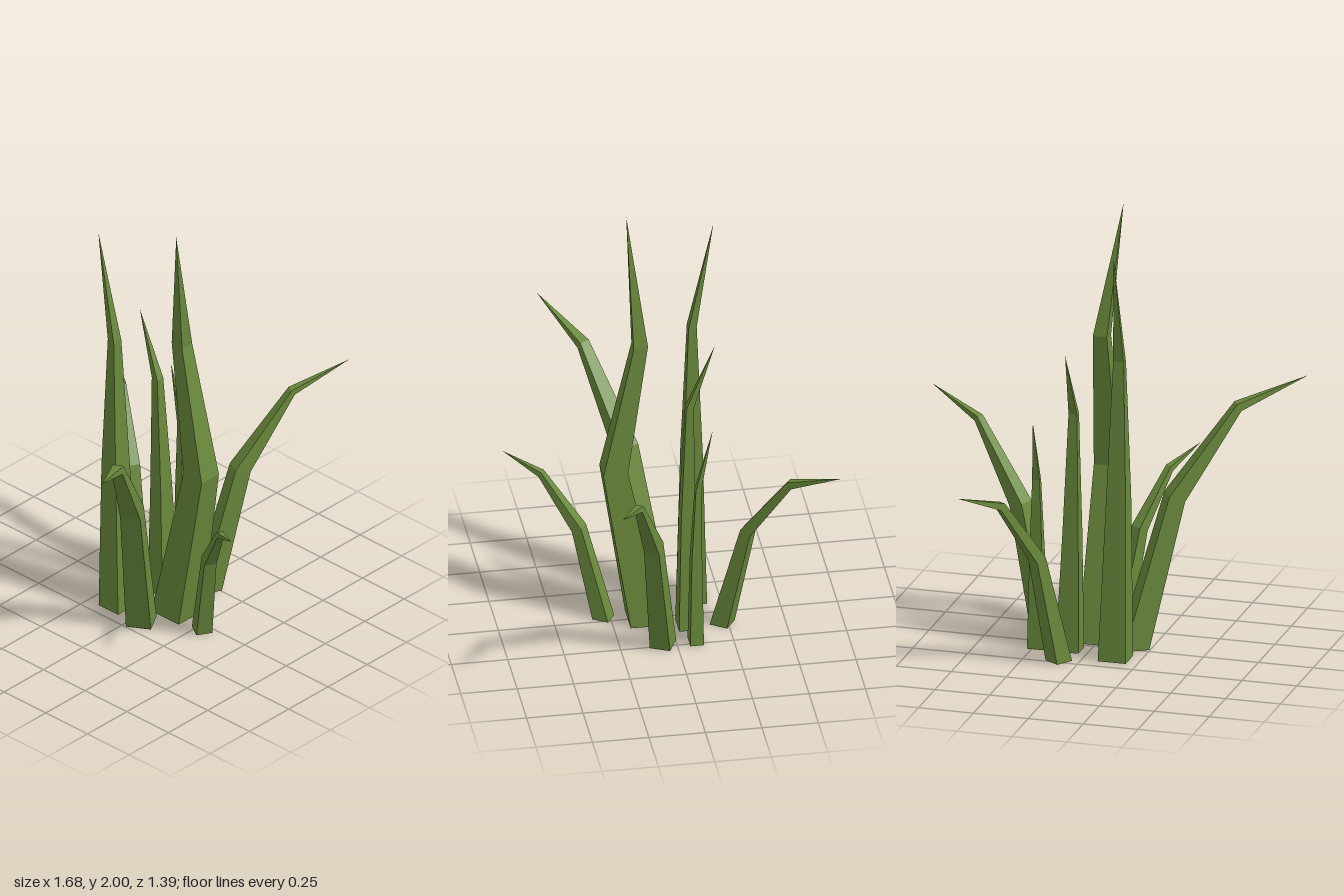
import * as THREE from 'three';

const leafGreen = new THREE.MeshStandardMaterial({ color: 0x6a8a3c });
leafGreen.name = 'leafGreen';

// One faceted blade: four-sided sections that taper to a point.
// origin [x, z] and lean direction [dx, dz] are on the ground;
// a section is [innerR, innerY, outerR, outerY, width, sideShift];
// the tip is [r, y, sideShift].
function blade(name, [x0, z0], [dx, dz], sections, [tipR, tipY, tipS = 0]) {
  const len = Math.hypot(dx, dz);
  const ux = dx / len, uz = dz / len;
  const at = (r, y, s) => [x0 + ux * r + uz * s, y, z0 + uz * r - ux * s];
  const rings = sections.map(([ri, yi, ro, yo, w, s = 0]) => [
    at(ri, yi, s - w / 2), at(ro, yo, s - w / 2),
    at(ro, yo, s + w / 2), at(ri, yi, s + w / 2),
  ]);
  const tip = at(tipR, tipY, tipS);
  const pos = [];
  const tri = (a, b, c) => pos.push(...a, ...b, ...c);
  const quad = (a, b, c, d) => { tri(a, b, c); tri(a, c, d); };

  const base = rings[0], last = rings[rings.length - 1];
  quad(base[3], base[2], base[1], base[0]);
  for (let i = 0; i < 4; i++) {
    const j = (i + 1) % 4;
    for (let k = 0; k + 1 < rings.length; k++) {
      quad(rings[k][i], rings[k][j], rings[k + 1][j], rings[k + 1][i]);
    }
    tri(last[i], last[j], tip);
  }
  // Unshared corners give each face its own flat normal
  const geo = new THREE.BufferGeometry();
  geo.setAttribute('position', new THREE.Float32BufferAttribute(pos, 3));
  geo.computeVertexNormals();
  const mesh = new THREE.Mesh(geo, leafGreen);
  mesh.name = name;
  return mesh;
}

export function createModel() {
  const plant = new THREE.Group();
  plant.name = 'grassTuft';
  const forward = [0, 1];

  plant.add(
    // Outer blades that arch away from the middle
    blade('archedBladeRight', [-0.17, 0.04], [-0.86, 0.51], [
      [-0.056, 0, 0.056, 0, 0.112],
      [0.15, 0.695, 0.22, 0.667, 0.09],
      [0.46, 1.09, 0.479, 1.058, 0.048],
    ], [0.785, 1.19]),
    blade('archedBladeLeft', [0.23, 0.06], [0.91, 0.417], [
      [-0.05, 0, 0.05, 0, 0.092],
      [0.12, 0.595, 0.19, 0.572, 0.068],
      [0.39, 0.933, 0.405, 0.91, 0.036],
    ], [0.67, 1.02]),
    blade('archedBladeBack', [0.092, -0.225], [0.56, -0.83], [
      [-0.042, 0, 0.042, 0, 0.08],
      [0.1, 0.51, 0.146, 0.488, 0.062],
      [0.318, 0.8, 0.339, 0.772, 0.034],
    ], [0.574, 0.875]),
    blade('archedBladeFront', [-0.037, 0.28], [-0.517, 0.856], [
      [-0.037, 0, 0.037, 0, 0.072],
      [0.092, 0.44, 0.136, 0.418, 0.055],
      [0.285, 0.679, 0.298, 0.656, 0.03],
    ], [0.474, 0.742]),

    // Tall middle blade, bent forward and back
    blade('tallBladeFront', [0, 0.095], forward, [
      [-0.08, 0, 0.082, 0, 0.155],
      [0.09, 0.775, 0.199, 0.768, 0.11],
      [-0.002, 1.4, 0.061, 1.39, 0.064],
    ], [0.075, 2, -0.085]),

    // Upright blades at the back, tips leaning backward
    blade('tallBladeBack', [-0.137, -0.128], forward, [
      [-0.058, 0, 0.058, 0, 0.127],
      [-0.045, 0.73, 0.04, 0.74, 0.09, -0.015],
      [-0.022, 1.38, 0.014, 1.37, 0.048, -0.02],
    ], [-0.1, 1.885, -0.021]),
    blade('mediumBladeBack', [0.088, -0.071], forward, [
      [-0.044, 0, 0.044, 0, 0.104],
      [-0.032, 0.55, 0.03, 0.55, 0.072, -0.012],
      [-0.03, 1.1, 0.003, 1.095, 0.038, -0.022],
    ], [-0.125, 1.4, -0.016]),
    blade('smallBladeBack', [0.232, -0.085], forward, [
      [-0.03, 0, 0.03, 0, 0.076],
      [-0.024, 0.42, 0.022, 0.42, 0.058],
      [-0.022, 0.78, 0.002, 0.775, 0.034],
    ], [-0.075, 1.065, -0.002]),
  );
  return plant;
}
